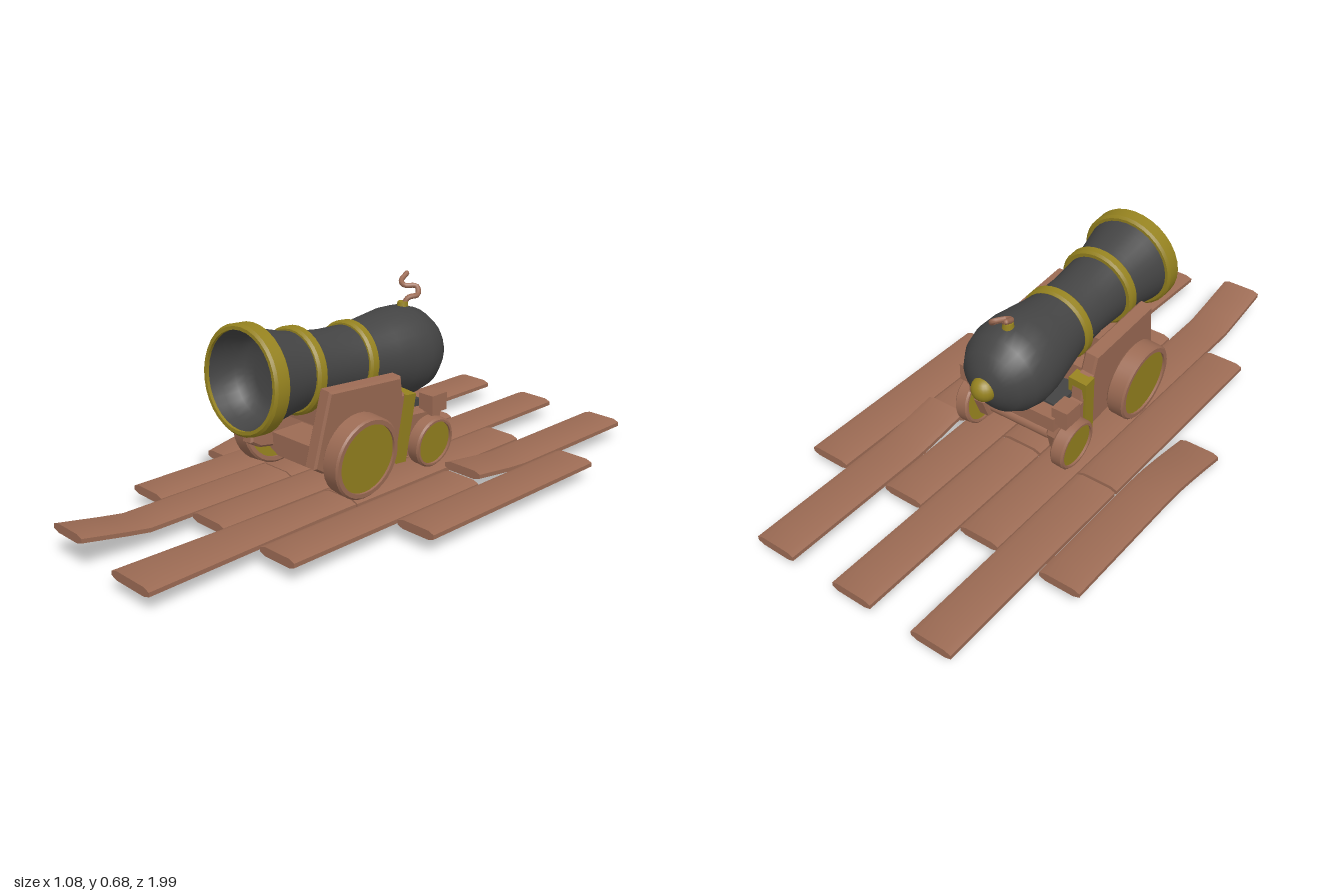
import * as THREE from 'three';
import { toCreasedNormals } from 'three/addons/utils/BufferGeometryUtils.js';

const wood = new THREE.MeshStandardMaterial({ color: 0x9c6b54 });
const brass = new THREE.MeshStandardMaterial({ color: 0x95821f });
const iron = new THREE.MeshStandardMaterial({ color: 0x444444 });
wood.name = 'wood'; brass.name = 'brass'; iron.name = 'iron';

const CX = -0.01; // cannon centre line
const LEAN = 0.08; // outward lean of cheeks and wheels

function add(parent, name, geometry, material, x = 0, y = 0, z = 0) {
  const mesh = new THREE.Mesh(geometry, material);
  mesh.name = name;
  mesh.position.set(x, y, z);
  parent.add(mesh);
  return mesh;
}

const polygon = pts => new THREE.Shape(pts.map(p => new THREE.Vector2(...p)));

// Solid of revolution around z, from [radius, z] points
function turned(pts, crease = 0.6, sides = 32) {
  const g = new THREE.LatheGeometry(pts.map(p => new THREE.Vector2(...p)), sides);
  g.rotateX(Math.PI / 2);
  return toCreasedNormals(g, crease);
}

// Hoop with chamfered outer edges
function hoop(rIn, rOut, z0, z1, c = 0.008) {
  return turned([[rIn, z0], [rOut - c, z0], [rOut, z0 + c], [rOut, z1 - c],
    [rOut - c, z1], [rIn, z1], [rIn, z0]]);
}

// Chamfered floor board, bent by rules of its z position
function board(x0, x1, z0, z1, lift = () => 0, flare = () => 0) {
  const w = (x1 - x0) / 2 - 0.002, h = 0.015, cx = 0.022, cy = 0.008;
  const shape = polygon([[-w, -h + cy], [-w + cx, -h], [w - cx, -h], [w, -h + cy],
    [w, h - cy], [w - cx, h], [-w + cx, h], [-w, h - cy]]);
  const g = new THREE.ExtrudeGeometry(shape, { depth: z1 - z0, steps: 10, bevelEnabled: false });
  g.translate(0, 0, z0);
  const p = g.attributes.position;
  for (let i = 0; i < p.count; i++) {
    const z = p.getZ(i);
    p.setX(i, p.getX(i) * (1 + flare(z)) + (x0 + x1) / 2);
    p.setY(i, p.getY(i) + 0.059 + lift(z));
  }
  return toCreasedNormals(g, 0.4);
}

function buildFloor() {
  const floor = new THREE.Group();
  floor.name = 'plankFloor';
  const ramp = (z, start, end) => Math.max(0, (z - start) / (end - start));
  const boards = [
    [-0.545, -0.395, -0.61, 0.185, z => -0.044 * ramp(z, -0.1, 0.185) ** 1.3],
    [-0.39, -0.24, -1, -0.2], [-0.39, -0.24, -0.19, 0.605],
    [-0.24, -0.09, -0.605, 0.19],
    [-0.24, -0.09, 0.195, 0.99, z => 0.045 * ramp(z, 0.76, 0.99)],
    [-0.088, 0.065, -1, -0.2], [-0.088, 0.065, -0.19, 0.6],
    [0.067, 0.22, -0.605, 0.19],
    [0.067, 0.22, 0.195, 0.99, undefined, z => 0.22 * ramp(z, 0.35, 0.99) - 0.03],
    [0.225, 0.378, -1, -0.21, z => 0.027 * ramp(z, -0.42, -0.21)],
    [0.23, 0.382, -0.2, 0.6],
    [0.383, 0.535, -0.61, 0.185],
  ];
  for (const b of boards) add(floor, 'plank', board(...b), wood);
  return floor;
}

function buildBarrel() {
  const barrel = new THREE.Group();
  barrel.name = 'barrel';
  barrel.position.set(CX, 0.446, 0);
  barrel.rotation.x = -0.076;
  add(barrel, 'barrelBody', turned([[0, -0.38], [0.035, -0.377], [0.07, -0.362], [0.11, -0.335],
    [0.14, -0.29], [0.153, -0.235], [0.15, -0.17], [0.137, -0.1], [0.124, -0.03], [0.117, 0.03],
    [0.114, 0.12], [0.12, 0.22], [0.132, 0.3], [0.15, 0.38], [0.163, 0.44]], 1), iron);
  add(barrel, 'bore', turned([[0.156, 0.462], [0.148, 0.42], [0.134, 0.37], [0.118, 0.345],
    [0.08, 0.335], [0, 0.333]], 1), iron);
  add(barrel, 'muzzleRing', hoop(0.155, 0.174, 0.407, 0.467), brass);
  add(barrel, 'frontBand', hoop(0.11, 0.141, 0.225, 0.265), brass);
  add(barrel, 'middleBand', hoop(0.11, 0.131, -0.01, 0.03), brass);
  add(barrel, 'rearKnob', new THREE.SphereGeometry(0.042, 20, 14), brass, 0, 0, -0.37);
  return barrel;
}

// Fuse with its brass collar
function buildFuse() {
  const fuse = new THREE.Group();
  fuse.name = 'fuse';
  const path = new THREE.CatmullRomCurve3([[-0.01, 0.57, -0.245], [0, 0.605, -0.26],
    [0.012, 0.612, -0.295], [-0.008, 0.635, -0.31], [-0.035, 0.638, -0.28],
    [-0.058, 0.648, -0.288], [-0.068, 0.666, -0.325]].map(p => new THREE.Vector3(...p)));
  add(fuse, 'fuseCord', new THREE.TubeGeometry(path, 30, 0.009, 8), wood);
  add(fuse, 'fuseTip', new THREE.SphereGeometry(0.009, 8, 6), wood, -0.068, 0.666, -0.325);
  add(fuse, 'fuseCollar', new THREE.CylinderGeometry(0.017, 0.02, 0.02, 14), brass, -0.01, 0.584, -0.245);
  return fuse;
}

function buildWheel(name, r, width) {
  const wheel = new THREE.Group();
  wheel.name = name;
  const rim = hoop(r * 0.85, r, -width / 2, width / 2, 0.006);
  add(wheel, 'wheelRim', rim.rotateY(Math.PI / 2), wood);
  const disc = new THREE.CylinderGeometry(r * 0.86, r * 0.86, width - 0.016, 32);
  add(wheel, 'wheelDisc', disc.rotateZ(Math.PI / 2), brass);
  return wheel;
}

function buildCarriage() {
  const carriage = new THREE.Group();
  carriage.name = 'carriage';
  carriage.position.x = CX;

  // Cheek outline as [z, y]
  const outline = polygon([[0.265, 0.44], [0.312, 0.205], [0.28, 0.185], [0.05, 0.145], [-0.09, 0.13],
    [-0.2, 0.14], [-0.22, 0.2], [-0.2, 0.265], [-0.1, 0.275], [-0.095, 0.345], [-0.05, 0.355], [-0.037, 0.418]]);
  const cheek = new THREE.ExtrudeGeometry(outline, { depth: 0.036, steps: 1,
    bevelThickness: 0.007, bevelSize: 0.007, bevelSegments: 1 });
  cheek.translate(0, -0.33, -0.018).rotateY(-Math.PI / 2);

  for (const s of [-1, 1]) {
    const side = new THREE.Group();
    side.name = s > 0 ? 'leftSide' : 'rightSide';
    side.position.set(s * 0.16, 0.33, 0);
    side.rotation.z = -s * LEAN;
    add(side, 'cheek', cheek, wood);
    const strap = add(side, 'strap', new THREE.BoxGeometry(0.068, 0.238, 0.045), brass, 0, -0.092, -0.072);
    strap.rotation.x = -0.1;
    carriage.add(side);

    const front = buildWheel('frontWheel', 0.136, 0.066);
    front.position.set(s * 0.216, 0.217, 0.163);
    const rear = buildWheel('rearWheel', 0.087, 0.05);
    rear.position.set(s * 0.194, 0.168, -0.18);
    for (const w of [front, rear]) {
      w.rotation.z = -s * LEAN;
      carriage.add(w);
    }
    add(carriage, 'rearBlock', new THREE.BoxGeometry(0.06, 0.06, 0.07), wood, s * 0.185, 0.3, -0.2);
    add(carriage, 'blockFoot', new THREE.BoxGeometry(0.04, 0.03, 0.04), wood, s * 0.18, 0.262, -0.2);
  }

  // Cross members
  add(carriage, 'rearBeam', new THREE.BoxGeometry(0.34, 0.05, 0.06), wood, 0, 0.268, -0.215);
  const section = (pts, z, depth) => new THREE.ExtrudeGeometry(polygon(pts), { depth, bevelEnabled: false })
    .translate(0, 0, z);
  add(carriage, 'frontAxleBeam', section([[-0.14, 0.165], [-0.1, 0.145], [0.1, 0.145], [0.14, 0.165],
    [0.14, 0.22], [-0.14, 0.22]], 0.1, 0.13), wood);
  add(carriage, 'cradle', section([[-0.14, 0.33], [-0.08, 0.28], [0.08, 0.28], [0.14, 0.33],
    [0.14, 0.37], [-0.14, 0.37]], 0.1, 0.1), wood);
  add(carriage, 'belly', section([[-0.14, 0.27], [-0.07, 0.228], [0.07, 0.228], [0.14, 0.27],
    [0.14, 0.3], [-0.14, 0.3]], -0.19, 0.13), iron);
  const axle = new THREE.CylinderGeometry(0.022, 0.022, 0.36, 12).rotateZ(Math.PI / 2);
  add(carriage, 'rearAxle', axle, wood, 0, 0.168, -0.18);
  return carriage;
}

export function createModel() {
  const model = new THREE.Group();
  model.name = 'cannonOnPlanks';
  model.add(buildFloor(), buildCarriage(), buildBarrel(), buildFuse());
  return model;
}
